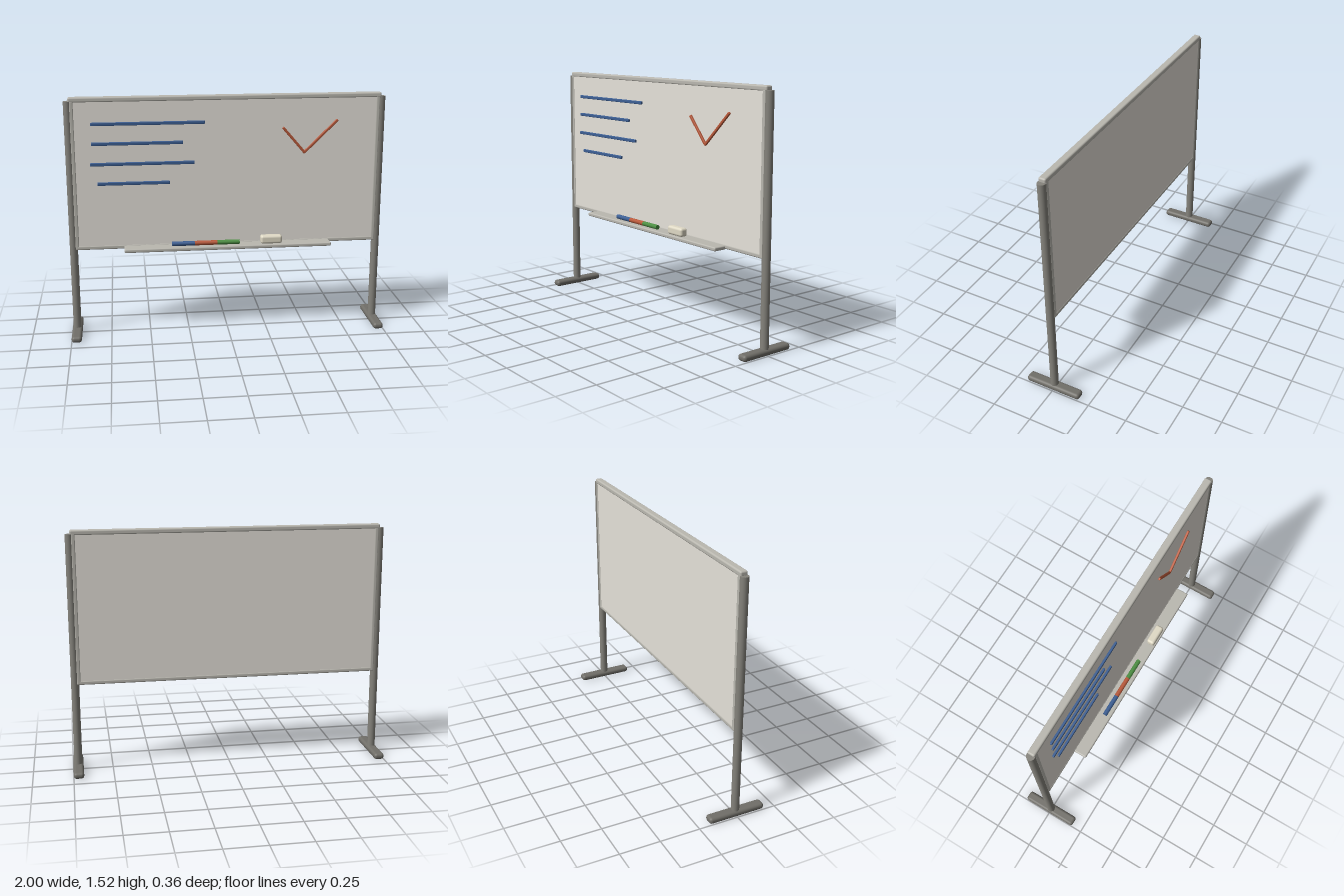
import * as THREE from 'three';
import { RoundedBoxGeometry } from 'three/addons/geometries/RoundedBoxGeometry.js';

const mat = (color) => new THREE.MeshStandardMaterial({ color });
const materials = {
  board: mat(0xe6e2da), frame: mat(0xbab8b0), post: mat(0x85837c), foot: mat(0x716f69),
  blue: mat(0x3c5f94), red: mat(0xb9593a), green: mat(0x4c8f42), felt: mat(0xe0dac6),
};

export function createModel() {
  const model = new THREE.Group();

  const add = (name, geometry, material, x, y, z) => {
    const mesh = new THREE.Mesh(geometry, materials[material]);
    mesh.name = name;
    mesh.position.set(x, y, z);
    model.add(mesh);
    return mesh;
  };
  // Softly bevelled box
  const block = (name, material, [w, h, d], [x, y, z], radius = 0.004) =>
    add(name, new RoundedBoxGeometry(w, h, d, 3, radius), material, x, y, z);
  // Flat pen stroke between two points on the board
  const stroke = (name, material, [x0, y0], [x1, y1], width, z) => {
    const length = Math.hypot(x1 - x0, y1 - y0) + width * 0.5;
    const mesh = block(name, material, [length, width, 0.014], [(x0 + x1) / 2, (y0 + y1) / 2, z]);
    mesh.rotation.z = Math.atan2(y1 - y0, x1 - x0);
  };

  // Writing panel and its frame
  add('boardPanel', new THREE.BoxGeometry(1.89, 0.93, 0.04), 'board', 0, 1.035, 0);
  block('topRail', 'frame', [1.93, 0.032, 0.046], [0, 1.504, 0], 0.01);
  block('bottomRail', 'frame', [1.9, 0.026, 0.046], [0, 0.573, 0], 0.008);

  // Uprights and feet, mirrored
  for (const [side, s] of [['left', 1], ['right', -1]]) {
    block(`${side}SideRail`, 'frame', [0.026, 0.94, 0.046], [s * 0.945, 1.03, 0], 0.008);
    add(`${side}Post`, new THREE.CylinderGeometry(0.025, 0.025, 1.465, 16), 'post',
      s * 0.968, 0.7625, 0);
    block(`${side}Foot`, 'foot', [0.064, 0.04, 0.36], [s * 0.968, 0.02, 0], 0.018);
  }

  // Pen tray with markers and eraser
  block('tray', 'frame', [1.308, 0.024, 0.088], [0, 0.568, 0.06], 0.008);
  ['blue', 'red', 'green'].forEach((color, i) => {
    const geometry = new THREE.CylinderGeometry(0.0145, 0.0145, 0.142, 16).rotateZ(Math.PI / 2);
    add(`${color}Marker`, geometry, color, -0.284 + i * 0.142, 0.595, 0.066);
  });
  block('eraser', 'felt', [0.136, 0.053, 0.052], [0.272, 0.608, 0.071], 0.015);

  // Written lines: start x, end x, height
  const lines = [[-0.83, -0.145, 1.357], [-0.83, -0.28, 1.235], [-0.84, -0.21, 1.108], [-0.8, -0.365, 0.985]];
  lines.forEach(([x0, x1, y], i) =>
    stroke(`writtenLine${i + 1}`, 'blue', [x0, y], [x1, y], 0.02, 0.029));

  // Check mark
  stroke('checkShortStroke', 'red', [0.346, 1.312], [0.481, 1.155], 0.016, 0.033);
  stroke('checkLongStroke', 'red', [0.481, 1.155], [0.684, 1.353], 0.016, 0.033);

  return model;
}
